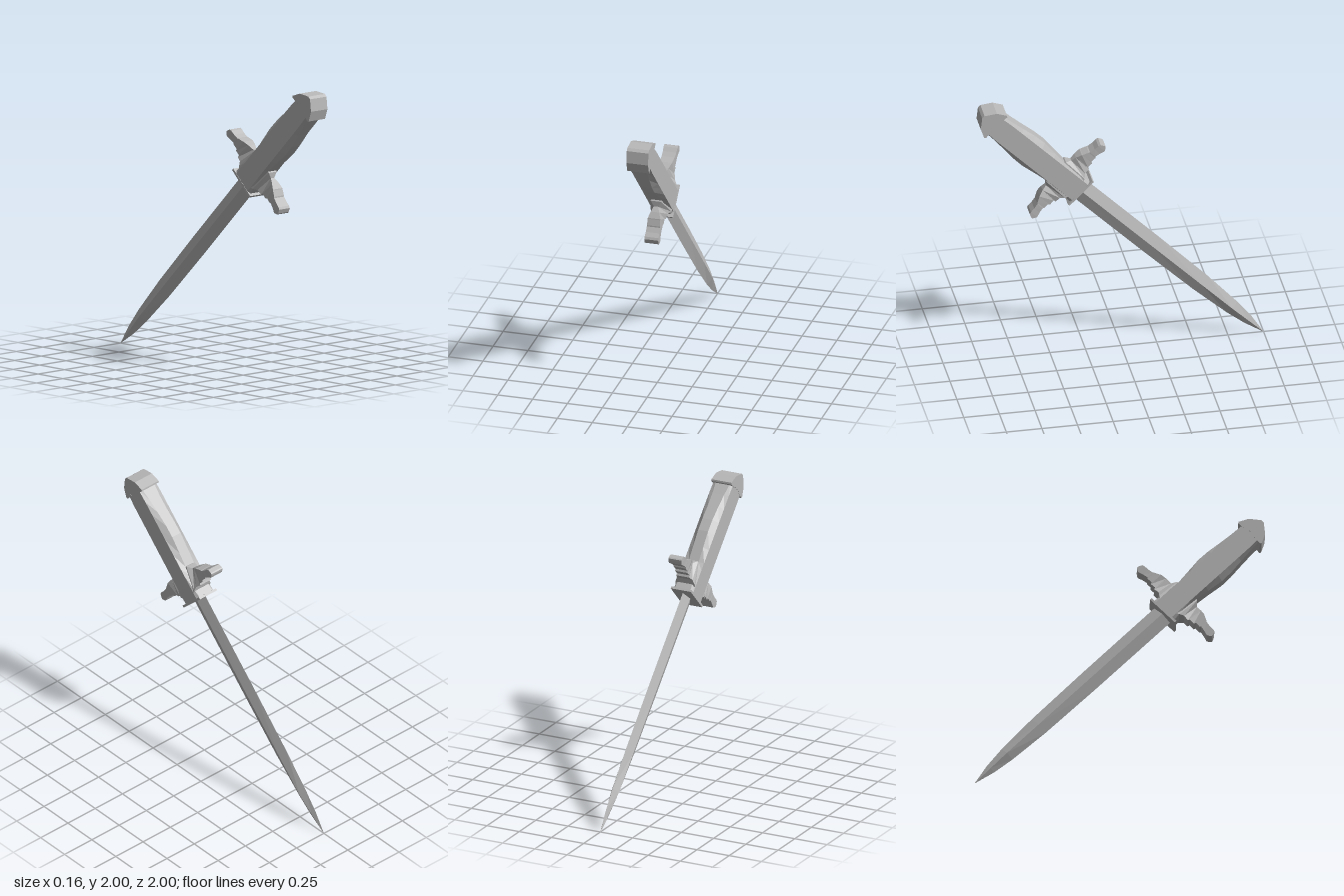
import * as THREE from 'three';

const steel = new THREE.MeshStandardMaterial({ color: 0xb8b8b8, flatShading: true });
steel.name = 'steel grey';

// Closed skin through rings of [x, y, z] points, with fan caps; always faces outward.
function loft(name, rings) {
  const n = rings[0].length, tris = [];
  const add = (a, b, c) => tris.push([a, b, c]);
  for (let r = 0; r < rings.length - 1; r++) {
    for (let i = 0; i < n; i++) {
      const j = (i + 1) % n;
      add(rings[r][i], rings[r][j], rings[r + 1][j]);
      add(rings[r][i], rings[r + 1][j], rings[r + 1][i]);
    }
  }
  const first = rings[0], last = rings[rings.length - 1];
  for (let i = 1; i < n - 1; i++) {
    add(first[0], first[i + 1], first[i]);
    add(last[0], last[i], last[i + 1]);
  }
  let volume = 0;
  for (const [a, b, c] of tris) {
    volume += new THREE.Vector3(...a).dot(new THREE.Vector3(...b).cross(new THREE.Vector3(...c)));
  }
  if (volume < 0) tris.forEach((t) => t.reverse());
  const geometry = new THREE.BufferGeometry();
  geometry.setAttribute('position', new THREE.Float32BufferAttribute(tris.flat(2), 3));
  geometry.computeVertexNormals();
  const mesh = new THREE.Mesh(geometry, steel);
  mesh.name = name;
  return mesh;
}

export function createModel() {
  const model = new THREE.Group();
  model.name = 'dagger';

  // Upright dagger (y along the blade, z across it), tilted at the end
  const dagger = new THREE.Group();
  dagger.name = 'tiltedDagger';
  dagger.rotation.x = Math.PI / 4;
  dagger.position.y = 1;
  model.add(dagger);

  // Diamond-section blade: [y, half width, half thickness]
  const bladeStations = [
    [0.42, 0.077, 0.03], [-0.3, 0.076, 0.03], [-0.79, 0.07, 0.03],
    [-1.1, 0.054, 0.029], [-1.26, 0.035, 0.016], [-1.413, 0.001, 0.001],
  ];
  dagger.add(loft('blade', bladeStations.map(([y, w, x]) =>
    [[x, y, 0], [0, y, w], [-x, y, 0], [0, y, -w]])));

  // Chamfered grip: [y, half depth, half width of the narrow face]
  const gripStations = [
    [0.42, 0.1, 0.06], [0.6, 0.09, 0.045], [0.655, 0.088, 0.038], [0.76, 0.1, 0.038],
    [0.88, 0.114, 0.038], [0.97, 0.112, 0.038], [1.08, 0.1, 0.04],
    [1.18, 0.09, 0.045], [1.275, 0.083, 0.055],
  ];
  dagger.add(loft('grip', gripStations.map(([y, d, e]) => {
    const x = 0.076, f = Math.min(0.078, d - 0.01);
    return [[x, y, -f], [x, y, f], [e, y, d], [-e, y, d],
      [-x, y, f], [-x, y, -f], [-e, y, -d], [e, y, -d]];
  })));

  // Pommel cap with hooked lips overhanging the grip
  const half = [[0.045, 1.272], [0.045, 1.262], [0.106, 1.257], [0.113, 1.267], [0.08, 1.334], [0.012, 1.388]];
  const outline = [...half, ...half.map(([z, y]) => [-z, y]).reverse()];
  const cap = new THREE.ExtrudeGeometry(
    new THREE.Shape(outline.map(([z, y]) => new THREE.Vector2(z, y))),
    { depth: 0.156, bevelEnabled: false });
  cap.translate(0, 0, -0.078);
  cap.rotateY(Math.PI / 2);
  const pommel = new THREE.Mesh(cap, steel);
  pommel.name = 'pommel';
  dagger.add(pommel);

  // Thin plate between grip and blade
  const plate = new THREE.Mesh(new THREE.BoxGeometry(0.156, 0.016, 0.242), steel);
  plate.name = 'guardPlate';
  plate.position.y = 0.42;
  dagger.add(plate);

  // Mirrored crossguard arms: [distance out, low y, high y, low half width, high half width]
  const armStations = [
    [0.06, 0.46, 0.66, 0.076, 0.04], [0.098, 0.48, 0.655, 0.074, 0.038],
    [0.125, 0.5, 0.625, 0.06, 0.016], [0.165, 0.497, 0.622, 0.05, 0.03],
    [0.17, 0.512, 0.621, 0.048, 0.032], [0.21, 0.51, 0.612, 0.047, 0.045],
    [0.216, 0.524, 0.608, 0.047, 0.045], [0.255, 0.522, 0.588, 0.047, 0.046],
    [0.262, 0.53, 0.582, 0.048, 0.047], [0.3, 0.522, 0.575, 0.048, 0.048],
    [0.335, 0.511, 0.574, 0.05, 0.05], [0.352, 0.52, 0.568, 0.05, 0.05],
    [0.364, 0.53, 0.54, 0.05, 0.05],
  ];
  for (const [name, side] of [['frontCrossguard', 1], ['backCrossguard', -1]]) {
    dagger.add(loft(name, armStations.map(([d, lo, hi, xl, xh]) =>
      [[xl, lo, d * side], [xh, hi, d * side], [-xh, hi, d * side], [-xl, lo, d * side]])));
  }

  return model;
}
